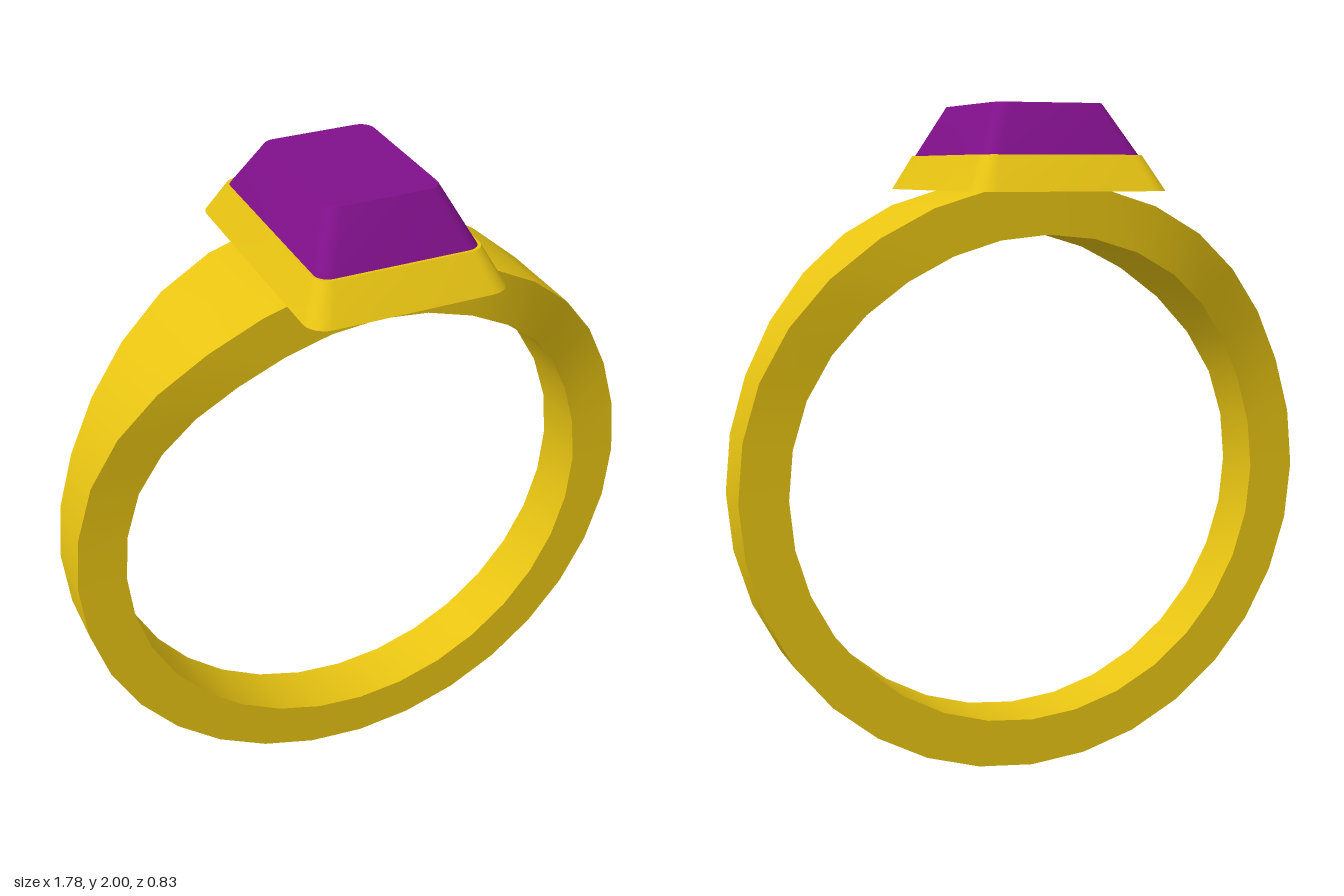
import * as THREE from 'three';
import { toCreasedNormals } from 'three/addons/utils/BufferGeometryUtils.js';

// Skin a list of closed cross-sections; sharp edges stay sharp, curves stay smooth
function loft(rows, wrap) {
  const n = rows[0].length;
  const index = [];
  const last = wrap ? rows.length : rows.length - 1;
  for (let i = 0; i < last; i++) {
    const next = (i + 1) % rows.length;
    for (let j = 0; j < n; j++) {
      const k = (j + 1) % n;
      const a = i * n + j, b = i * n + k, c = next * n + j, d = next * n + k;
      index.push(a, c, b, b, c, d);
    }
  }
  const geometry = new THREE.BufferGeometry();
  geometry.setAttribute('position', new THREE.Float32BufferAttribute(rows.flat(2), 3));
  geometry.setIndex(index);
  return toCreasedNormals(geometry, 0.45);
}

// Horizontal rounded rectangle at height y with half sizes hx, hz
function roundedRect(y, hx, hz, r, steps = 6) {
  const points = [];
  for (let corner = 0; corner < 4; corner++) {
    const sx = corner === 0 || corner === 3 ? 1 : -1;
    const sz = corner < 2 ? 1 : -1;
    for (let s = 0; s <= steps; s++) {
      const a = (corner + s / steps) * Math.PI / 2;
      points.push([sx * (hx - r) + r * Math.cos(a), y, sz * (hz - r) + r * Math.sin(a)]);
    }
  }
  return points;
}

export function createModel() {
  const gold = new THREE.MeshStandardMaterial({ color: 0xe8c412 });
  gold.name = 'gold';
  const purple = new THREE.MeshStandardMaterial({ color: 0x80108a });
  purple.name = 'purple';

  const group = new THREE.Group();
  const add = (name, geometry, material) => {
    const mesh = new THREE.Mesh(geometry, material);
    mesh.name = name;
    group.add(mesh);
  };

  // Band: 32 sections, widening towards the setting on both shoulders
  const segments = 32, centerY = 0.888, outer = 0.888, inner = 0.743;
  const shoulder = [0.09, 0.09, 0.095, 0.12, 0.155, 0.19, 0.207, 0.21, 0.21];
  const sections = [];
  for (let i = 0; i < segments; i++) {
    const a = i / segments * Math.PI * 2;
    const w = i <= 16 ? shoulder[Math.min(i, 16 - i)] : shoulder[0];
    sections.push([[outer, w], [inner, w], [inner, -w], [outer, -w]].map(
      ([r, z]) => [r * Math.cos(a), centerY + r * Math.sin(a), z]));
  }
  add('band', loft(sections, true), gold);

  // Bezel: hollow sloping frame, open underneath
  add('bezel', loft([
    roundedRect(1.755, 0.29, 0.415, 0.06),
    roundedRect(1.855, 0.242, 0.345, 0.045),
    roundedRect(1.855, 0.233, 0.335, 0.04),
    roundedRect(1.755, 0.265, 0.388, 0.045),
  ], true), gold);

  // Gem: tapered block with a flat table and a flat base
  add('gem', loft([
    roundedRect(1.8, 0, 0, 0),
    roundedRect(1.8, 0.254, 0.366, 0.045),
    roundedRect(1.855, 0.234, 0.336, 0.04),
    roundedRect(2, 0.165, 0.236, 0.04),
    roundedRect(2, 0, 0, 0),
  ], false), purple);

  return group;
}
